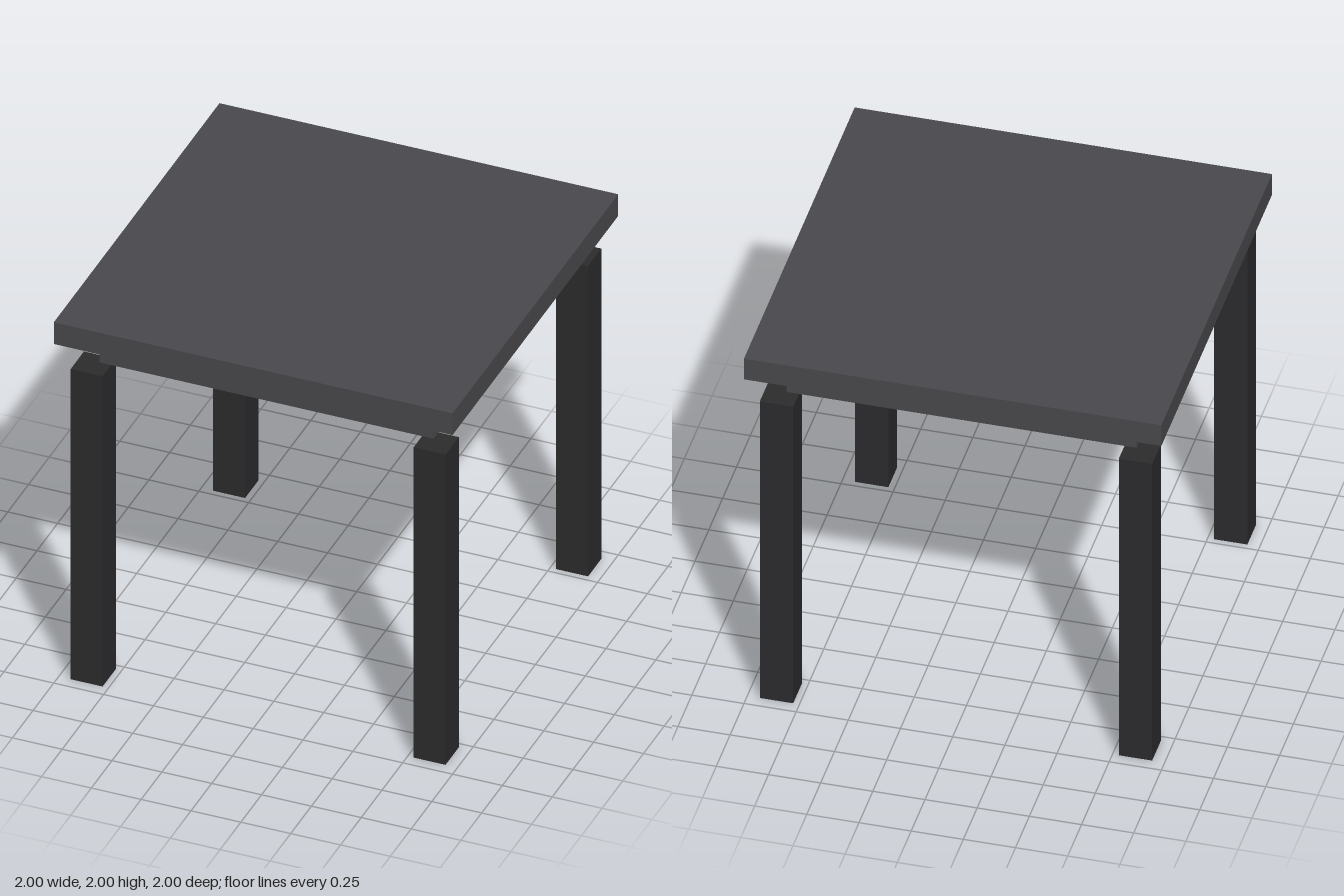
import * as THREE from 'three';

const topMaterial = new THREE.MeshStandardMaterial({ color: 0x4a4a4e });
const legMaterial = new THREE.MeshStandardMaterial({ color: 0x2c2c2e });

// Square block of a given width, spanning y0 to y1
function block(name, width, y0, y1, material, x = 0, z = 0) {
  const mesh = new THREE.Mesh(new THREE.BoxGeometry(width, y1 - y0, width), material);
  mesh.name = name;
  mesh.position.set(x, (y0 + y1) / 2, z);
  return mesh;
}

export function createModel() {
  const table = new THREE.Group();
  table.name = 'table';

  // Overhanging top and the solid apron beneath it
  table.add(block('tableTop', 2, 1.88, 2, topMaterial));
  table.add(block('apron', 1.676, 1.72, 1.88, topMaterial));

  // Four square legs under the apron corners
  for (const [side, x] of [['Left', 0.86], ['Right', -0.86]]) {
    for (const [end, z] of [['front', 0.86], ['back', -0.86]]) {
      table.add(block(`${end}${side}Leg`, 0.16, 0, 1.72, legMaterial, x, z));
    }
  }
  return table;
}
